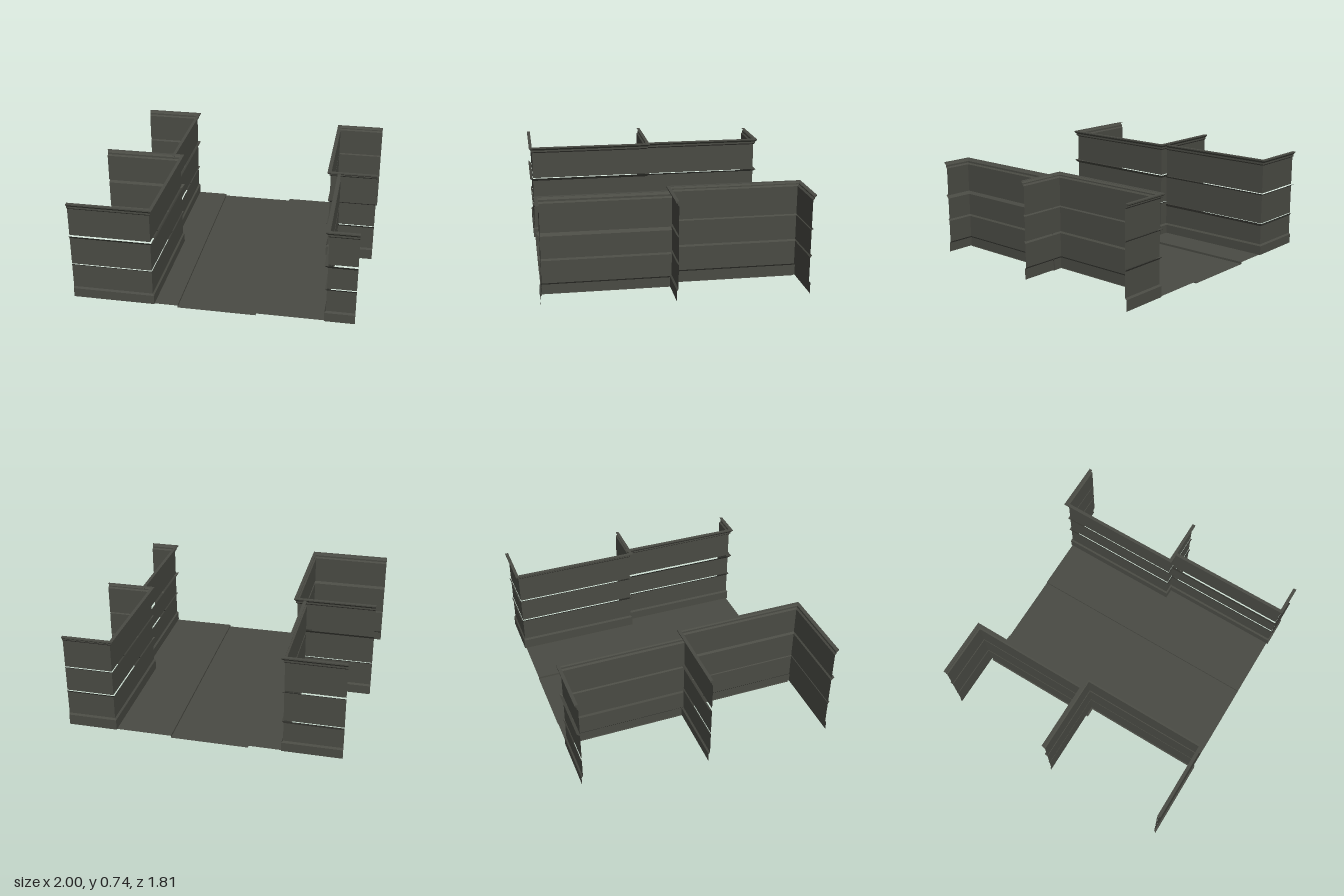
import * as THREE from 'three';

const stone = new THREE.MeshStandardMaterial({ color: 0x4a4b44, side: THREE.DoubleSide });
stone.name = 'dark stone';

// Sweeps a profile of [outward offset, height] along a ground path of [x, z], mitred at corners.
function sweep(path, profile) {
  const normals = path.slice(1).map(([x, z], i) => {
    const dx = x - path[i][0], dz = z - path[i][1], l = Math.hypot(dx, dz);
    return [-dz / l, dx / l];
  });
  const at = (i, [offset, y]) => {
    const a = normals[Math.max(i - 1, 0)], b = normals[Math.min(i, normals.length - 1)];
    const k = offset / (1 + a[0] * b[0] + a[1] * b[1]);
    return [path[i][0] + (a[0] + b[0]) * k, y, path[i][1] + (a[1] + b[1]) * k];
  };
  const pos = [];
  for (let i = 0; i < path.length - 1; i++) {
    for (let j = 0; j < profile.length - 1; j++) {
      const a = at(i, profile[j]), b = at(i + 1, profile[j]);
      const c = at(i + 1, profile[j + 1]), d = at(i, profile[j + 1]);
      pos.push(...a, ...b, ...c, ...a, ...c, ...d);
    }
  }
  const g = new THREE.BufferGeometry();
  g.setAttribute('position', new THREE.Float32BufferAttribute(pos, 3));
  g.computeVertexNormals();
  return g;
}

const BASE = 0.015;

// One facade: plinth, wall panels split by open-topped ledges, stepped cornice.
function facade({ name, path, plinth, ledges, cornice, top }) {
  const group = new THREE.Group();
  group.name = name;
  const add = (part, profile) => {
    const m = new THREE.Mesh(sweep(path, profile), stone);
    m.name = part;
    group.add(m);
  };
  add('plinth', [[0.01, BASE], [0.01, plinth], [0, plinth + 0.012]]);
  let y = plinth + 0.012;
  for (const [low, high, out] of ledges) {
    add('wallPanel', [[0, y], [0, low]]);
    add('ledge', [[0, low], [out, high]]);
    y = high;
  }
  add('wallPanel', [[0, y], [0, cornice]]);
  const mid = (cornice + top) / 2;
  add('cornice', [[0, cornice], [0.01, cornice + 0.01], [0.01, mid],
    [0.023, top - 0.008], [0.023, top], [0, top]]);
  return group;
}

const facades = [
  { name: 'frontRightFacade', path: [[-1, 0.88], [-0.44, 0.88], [-0.44, -0.005], [-1, -0.005]],
    plinth: 0.08, ledges: [[0.263, 0.273, 0.01], [0.47, 0.493, 0.022]], cornice: 0.69, top: 0.735 },
  { name: 'backRightFacade', path: [[-0.508, -0.005], [-0.508, -0.88], [-0.91, -0.88]],
    plinth: 0.08, ledges: [[0.23, 0.25, 0.01], [0.46, 0.475, 0.02]], cornice: 0.68, top: 0.725 },
  { name: 'frontLeftFacade', path: [[0.74, 0], [0.74, 0.88], [0.935, 0.88]],
    plinth: 0.08, ledges: [[0.25, 0.265, 0.012], [0.42, 0.445, 0.022]], cornice: 0.645, top: 0.69 },
  { name: 'backLeftFacade', path: [[1, -0.88], [0.667, -0.88], [0.667, 0], [1, 0]],
    plinth: 0.09, ledges: [[0.27, 0.285, 0.012], [0.457, 0.468, 0.012]], cornice: 0.665, top: 0.70 },
];

export function createModel() {
  const model = new THREE.Group();
  model.name = 'streetSection';
  for (const f of facades) model.add(facade(f));

  // Flat ground strips, as thin sheets
  const strip = (name, x0, x1, z0, z1, y) => {
    const g = new THREE.PlaneGeometry(x1 - x0, z1 - z0).rotateX(-Math.PI / 2);
    const m = new THREE.Mesh(g, stone);
    m.position.set((x0 + x1) / 2, y, (z0 + z1) / 2);
    m.name = name;
    model.add(m);
  };
  strip('road', -0.27, 0.27, -0.88, 0.88, 0);
  strip('pavement', -0.44, -0.27, 0, 0.88, BASE);
  strip('pavement', -0.508, -0.27, -0.88, 0, BASE);
  strip('pavement', 0.27, 0.74, 0, 0.88, BASE);
  strip('pavement', 0.27, 0.667, -0.88, 0, BASE);

  // Kerbs
  for (const s of [-1, 1]) {
    const kerb = new THREE.Mesh(
      sweep([[s * 0.27, s * 0.88], [s * 0.27, -s * 0.88]], [[0, 0], [0, BASE]]), stone);
    kerb.rotation.y = 0;
    kerb.name = 'kerb';
    model.add(kerb);
  }
  return model;
}
